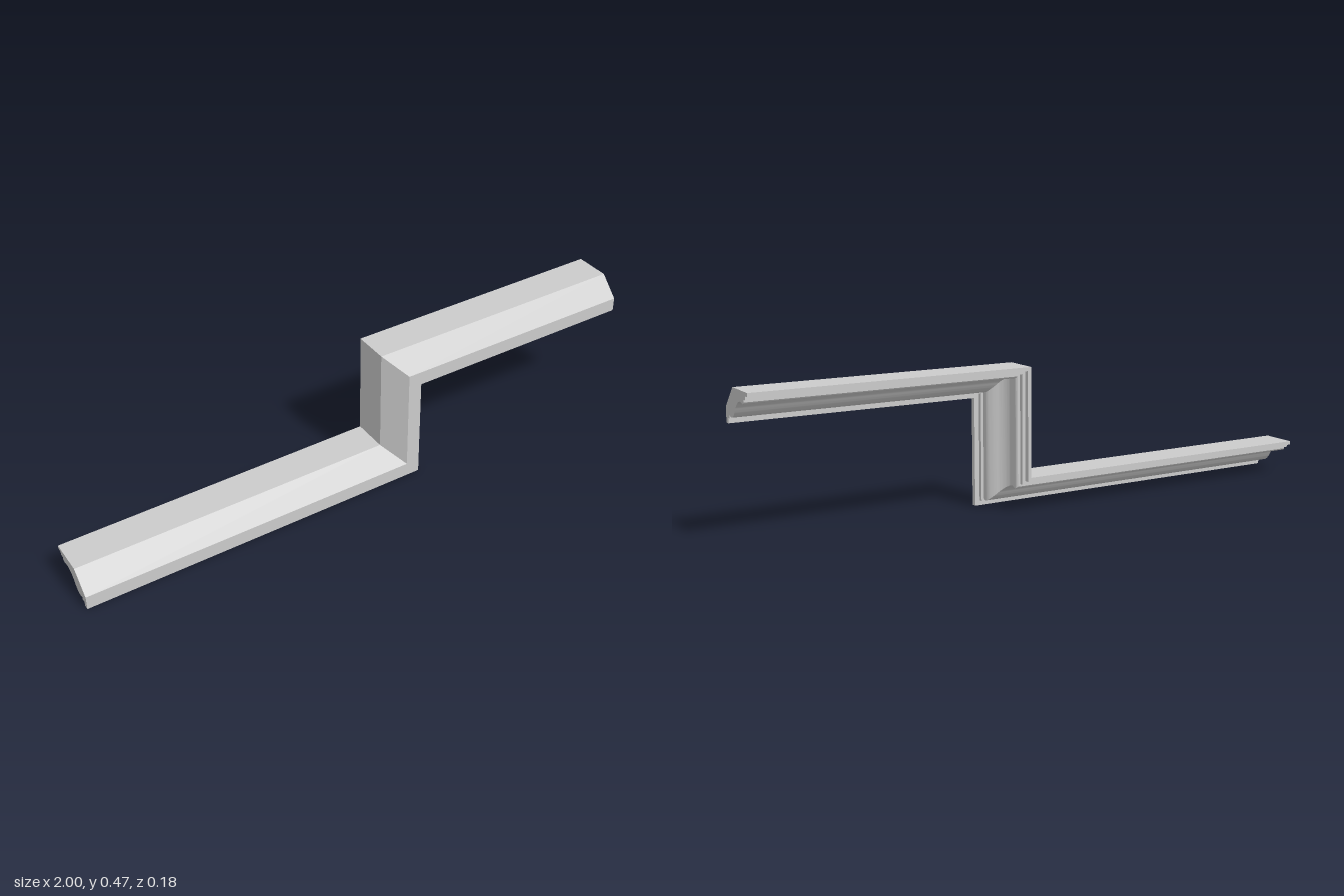
import * as THREE from 'three';
import { toCreasedNormals } from 'three/addons/utils/BufferGeometryUtils.js';

const RISE = 0.353; // height of the upper run above the lower one
const CORNER = 0.195; // x of the riser's outer face

// Moulding cross-section: u runs towards the back, v is the height.
function mouldingShape() {
  const v = (x, y) => new THREE.Vector2(x, y);
  const wave = new THREE.SplineCurve([
    v(-0.062, 0.025), v(-0.054, 0.0225), v(-0.043, 0.0215), v(-0.031, 0.027), v(-0.018, 0.041),
    v(-0.008, 0.056), v(0.004, 0.068), v(0.018, 0.076), v(0.032, 0.0785),
    v(0.047, 0.0755), v(0.057, 0.0755), v(0.062, 0.081),
  ]).getPoints(44);
  return new THREE.Shape([
    v(-0.092, 0.047), v(-0.092, 0), v(-0.075, 0), // front face and lip
    v(-0.075, 0.016), v(-0.062, 0.016), // front step
    ...wave,
    v(0.062, 0.089), v(0.075, 0.089), // back step
    v(0.075, 0.1), v(0.092, 0.1), v(0.092, 0.112), // back lip
    v(-0.028, 0.112), // top edge of the bevel
  ]);
}

export function createModel() {
  const group = new THREE.Group();
  group.name = 'steppedMoulding';

  // Sweep in three runs: lower, riser, upper, with mitred corners.
  const stations = [
    (h) => [-1, h],
    (h) => [CORNER - h, h],
    (h) => [CORNER - h, RISE + h],
    (h) => [1, RISE + h],
  ];
  const swept = new THREE.ExtrudeGeometry(mouldingShape(), { depth: 3, steps: 3, bevelEnabled: false });
  const pos = swept.attributes.position;
  for (let i = 0; i < pos.count; i++) {
    const [x, y] = stations[Math.round(pos.getZ(i))](pos.getY(i));
    pos.setXYZ(i, x, y, -pos.getX(i));
  }
  const geometry = toCreasedNormals(swept, 0.45);
  geometry.clearGroups();

  const moulding = new THREE.Mesh(geometry, new THREE.MeshStandardMaterial({ color: 0xcccccc }));
  moulding.name = 'moulding';
  group.add(moulding);
  return group;
}
